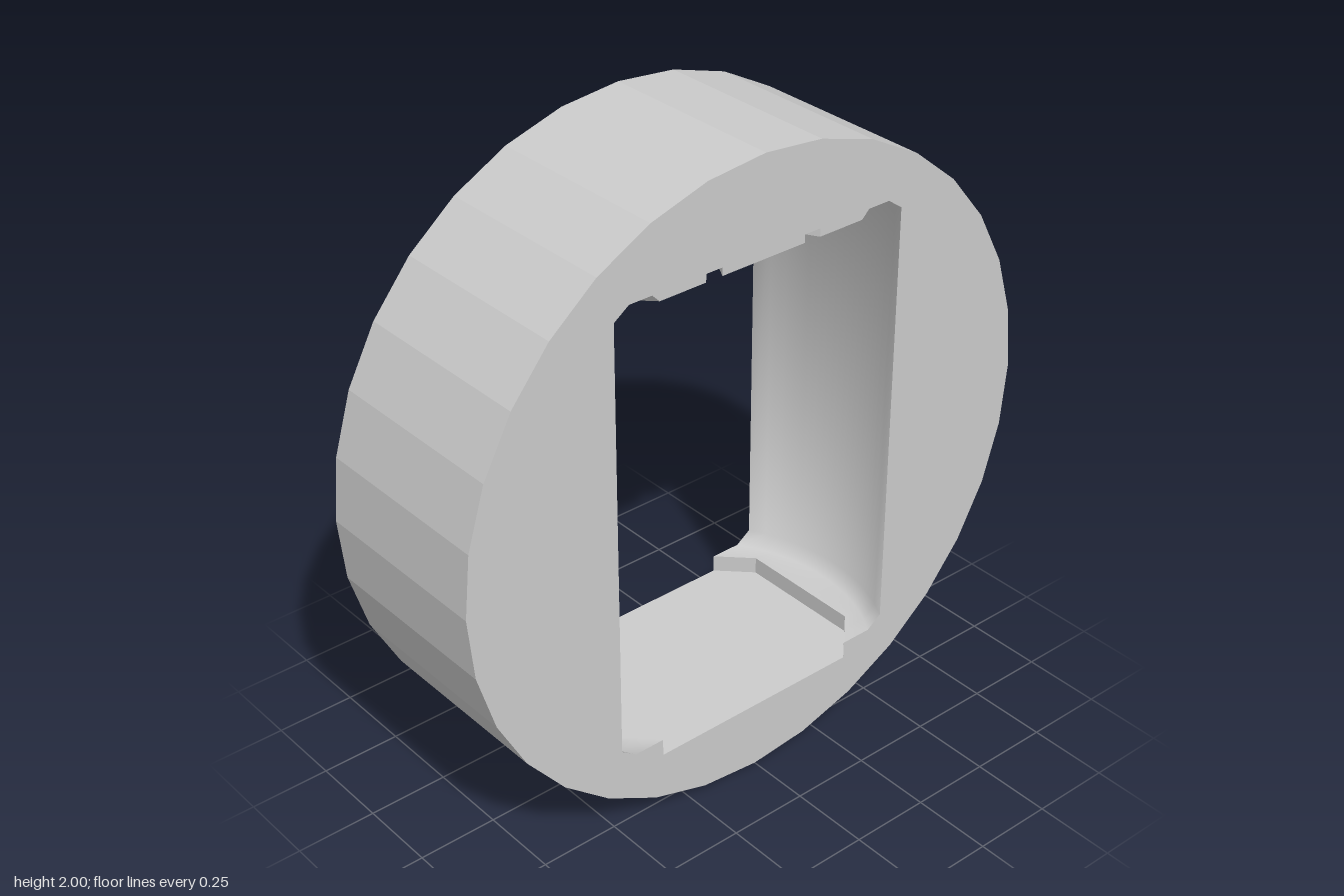
import * as THREE from 'three';
import { toCreasedNormals } from 'three/addons/utils/BufferGeometryUtils.js';

const HALF = 0.3;                       // half depth of the ring
const FLOOR = 0.22, LEDGE = 0.275, CEIL = 1.72, PANEL = 1.695;
const OCT = 0.45, OCT_Z = 0.205;        // octagon half width and corner position
const HUB = 0.1;
const grey = (side = THREE.FrontSide, flatShading = false) =>
  new THREE.MeshStandardMaterial({ color: 0xcccccc, side, flatShading });

// half widths of the cavity at a given depth
const arc = (r, z) => Math.sqrt(r * r - z * z);
const oct = (z) => Math.min(OCT, OCT + OCT_Z - Math.abs(z));

// cross-sections of the right-hand side, bottom to top
const recessSection = (z) => [[oct(z), FLOOR], [oct(z), LEDGE]];
const wallSection = (z) => [
  [oct(z), LEDGE], [arc(0.545, z), LEDGE], [arc(0.587, z), 0.31],
  [arc(0.587, z), 1.685], [arc(0.545, z), CEIL],
];

// depth stations, including the octagon corners
const stations = [-HALF, -0.25];
for (let i = 0; i <= 16; i++) stations.push(-OCT_Z + (2 * OCT_Z * i) / 16);
stations.push(0.25, HALF);

function loft(section, crease) {
  const pos = [], index = [];
  const n = section(0).length;
  stations.forEach((z, i) => {
    section(z).forEach(([x, y], j) => {
      pos.push(x, y, z);
      if (i && j) {
        const c = i * n + j, d = c - n;
        index.push(d - 1, c - 1, c, d - 1, c, d);
      }
    });
  });
  const g = new THREE.BufferGeometry();
  g.setAttribute('position', new THREE.Float32BufferAttribute(pos, 3));
  g.setIndex(index);
  return toCreasedNormals(g.toNonIndexed(), crease);
}

const shapeOf = (pts) => new THREE.Shape(pts.map(([x, y]) => new THREE.Vector2(x, y)));

// outline in plan, closed from the half width at each depth
function planShape(width) {
  const right = stations.map((z) => [width(z), z]);
  return shapeOf([...right, ...right.map(([x, z]) => [-x, -z])]);
}

export function createModel() {
  const group = new THREE.Group();
  const add = (name, geometry, material = grey()) => {
    const mesh = new THREE.Mesh(geometry, material);
    mesh.name = name;
    group.add(mesh);
    return mesh;
  };

  // faceted outer rim
  const rim = new THREE.CylinderGeometry(1, 1, 2 * HALF, 32, 1, true);
  rim.rotateX(Math.PI / 2).translate(0, 1, 0);
  add('outerRim', rim, grey(THREE.FrontSide, true));

  // front and back faces with the opening cut out
  const disc = [];
  for (let i = 0; i < 32; i++) {
    const a = (i * Math.PI) / 16;
    disc.push([Math.cos(a), 1 + Math.sin(a)]);
  }
  const face = shapeOf(disc);
  const side = [...recessSection(HALF), ...wallSection(HALF).slice(1)];
  const opening = [...side, ...side.map(([x, y]) => [-x, y]).reverse()];
  face.holes.push(shapeOf(opening));
  for (const [name, turn] of [['frontFace', 0], ['backFace', Math.PI]]) {
    add(name, new THREE.ShapeGeometry(face).translate(0, 0, HALF)).rotation.y = turn;
  }

  // curved side walls and the octagonal floor recess
  for (const [label, turn] of [['left', 0], ['right', Math.PI]]) {
    add(label + 'CavityWall', loft(wallSection, 0.95)).rotation.y = turn;
    add(label + 'FloorEdge', loft(recessSection, 0.5)).rotation.y = turn;
  }
  add('floor', new THREE.ShapeGeometry(planShape(oct)).rotateX(-Math.PI / 2).translate(0, FLOOR, 0));

  // ceiling with a round socket
  const ceiling = planShape((z) => arc(0.545, z));
  ceiling.holes.push(new THREE.Path().absarc(0, 0, HUB, 0, Math.PI * 2, true));
  add('ceiling', new THREE.ShapeGeometry(ceiling, 16).rotateX(Math.PI / 2).translate(0, CEIL, 0));
  add('socketWall', new THREE.CylinderGeometry(HUB, HUB, 0.04, 16, 1, true)
    .translate(0, CEIL + 0.02, 0), grey(THREE.BackSide));
  add('socketTop', new THREE.CircleGeometry(HUB, 16).rotateX(Math.PI / 2).translate(0, CEIL + 0.04, 0));

  // ceiling panels, separated by six radial grooves
  const corner = [
    [0.198, 0.024], [OCT, 0.024], [OCT, OCT_Z], [oct(HALF), HALF],
    [0.2, HALF], [0.12, 0.16], [0.173, 0.1],
  ];
  const middle = [
    [0.145, HALF], [-0.145, HALF], [-0.08, 0.187], [0, 0.2], [0.08, 0.187],
  ];
  const flipX = (pts) => pts.map(([x, z]) => [-x, z]);
  [corner, middle, flipX(corner)].forEach((pts, k) => {
    const g = new THREE.ExtrudeGeometry(shapeOf(pts), { depth: CEIL - PANEL, bevelEnabled: false });
    g.rotateX(Math.PI / 2).translate(0, CEIL, 0);
    // slope the outer edge
    const p = g.attributes.position;
    for (let i = 0; i < p.count; i++) {
      const x = p.getX(i);
      if (Math.abs(x) > 0.35 && p.getY(i) > CEIL - 0.01) p.setX(i, x + Math.sign(x) * 0.025);
    }
    g.computeVertexNormals();
    for (const turn of [0, Math.PI]) {
      add('ceilingPanel' + (k + 1) + (turn ? 'Back' : 'Front'), g).rotation.y = turn;
    }
  });
  return group;
}
